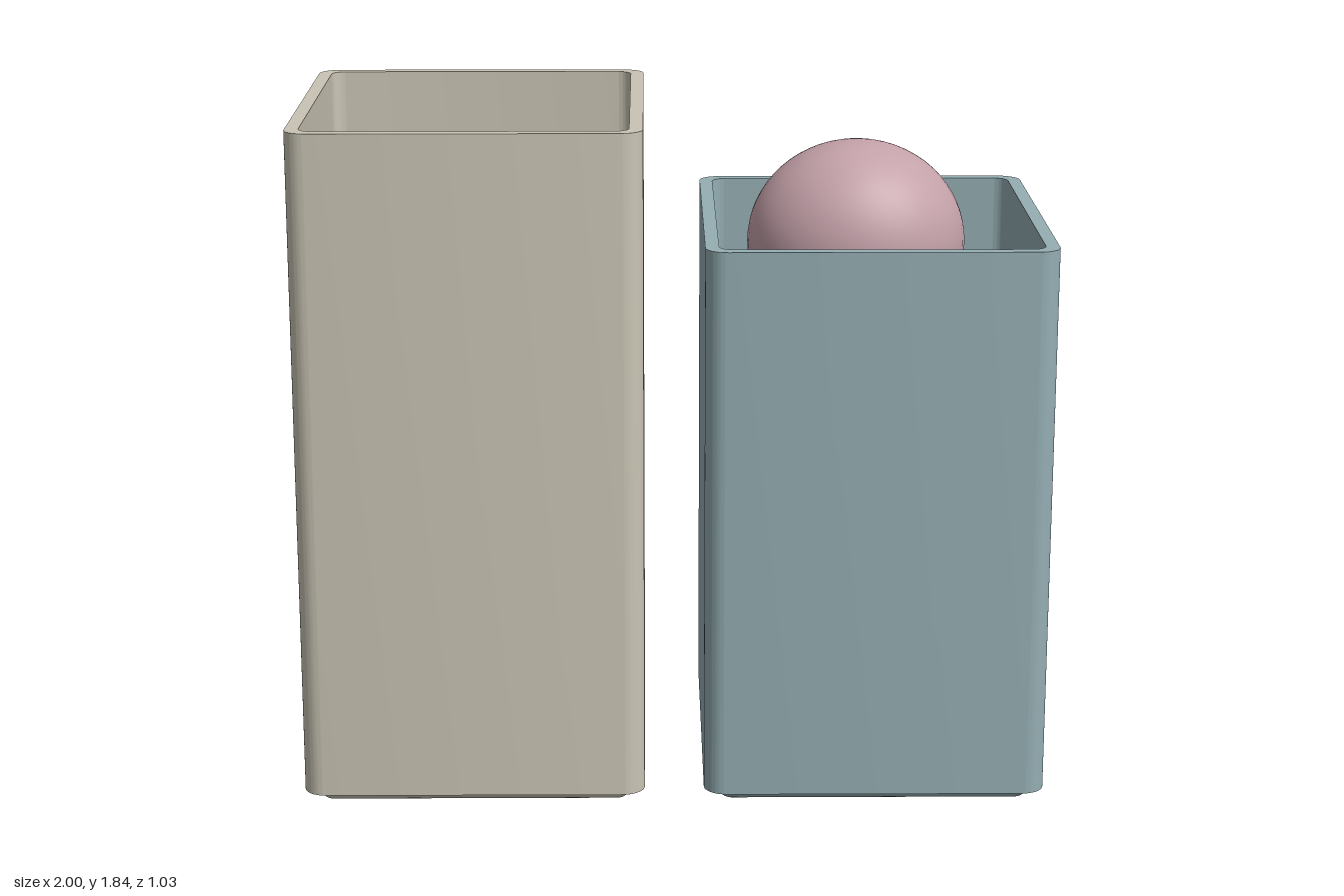
import * as THREE from 'three';
import { toCreasedNormals } from 'three/addons/utils/BufferGeometryUtils.js';
import { RoundedBoxGeometry } from 'three/addons/geometries/RoundedBoxGeometry.js';

const WIDTH = 0.92, DEPTH = 1.03, WALL = 0.036, LIFT = 0.036;

// Trace a rounded rectangle centred on the origin.
function roundedRect(path, w, d, r) {
  const x = w / 2, y = d / 2;
  path.moveTo(-x + r, -y);
  path.lineTo(x - r, -y);
  path.absarc(x - r, -y + r, r, -Math.PI / 2, 0);
  path.lineTo(x, y - r);
  path.absarc(x - r, y - r, r, 0, Math.PI / 2);
  path.lineTo(-x + r, y);
  path.absarc(-x + r, y - r, r, Math.PI / 2, Math.PI);
  path.lineTo(-x, -y + r);
  path.absarc(-x + r, -y + r, r, Math.PI, Math.PI * 1.5);
  return path;
}

// Open-topped box: a hollow rounded sleeve on a softly rounded base slab.
function makeContainer(name, top, material) {
  const group = new THREE.Group();
  group.name = name;

  const outline = roundedRect(new THREE.Shape(), WIDTH, DEPTH, 0.06);
  outline.holes.push(roundedRect(new THREE.Path(), WIDTH - 2 * WALL, DEPTH - 2 * WALL, 0.04));
  const sleeve = new THREE.ExtrudeGeometry(outline, { depth: top - LIFT, bevelEnabled: false, curveSegments: 8 });
  sleeve.rotateX(-Math.PI / 2);
  const walls = new THREE.Mesh(toCreasedNormals(sleeve, 0.6), material);
  walls.name = name + 'Walls';
  walls.position.y = LIFT;

  const slab = new RoundedBoxGeometry(WIDTH - 2 * WALL - 0.004, 0.075, DEPTH - 2 * WALL - 0.004, 5, 0.036);
  const base = new THREE.Mesh(slab, material);
  base.name = name + 'Base';
  base.position.y = 0.0375;

  group.add(walls, base);
  return group;
}

export function createModel() {
  const beige = new THREE.MeshStandardMaterial({ color: 0xc9c4b4 });
  beige.name = 'warm beige';
  const blue = new THREE.MeshStandardMaterial({ color: 0x95aeb3 });
  blue.name = 'dusty blue';
  const pink = new THREE.MeshStandardMaterial({ color: 0xc4a1a9 });
  pink.name = 'dusty pink';

  const model = new THREE.Group();
  model.name = 'containerPair';

  const tall = makeContainer('tallContainer', 1.84, beige);
  tall.position.x = -0.54;
  const short = makeContainer('shortContainer', 1.53, blue);
  short.position.x = 0.54;

  // Slightly flattened ball resting in the mouth of the short container.
  const ball = new THREE.Mesh(new THREE.SphereGeometry(1, 48, 32), pink);
  ball.name = 'ball';
  ball.scale.set(0.297, 0.278, 0.26);
  ball.position.set(0.5, 1.452, 0);

  model.add(tall, short, ball);
  return model;
}
